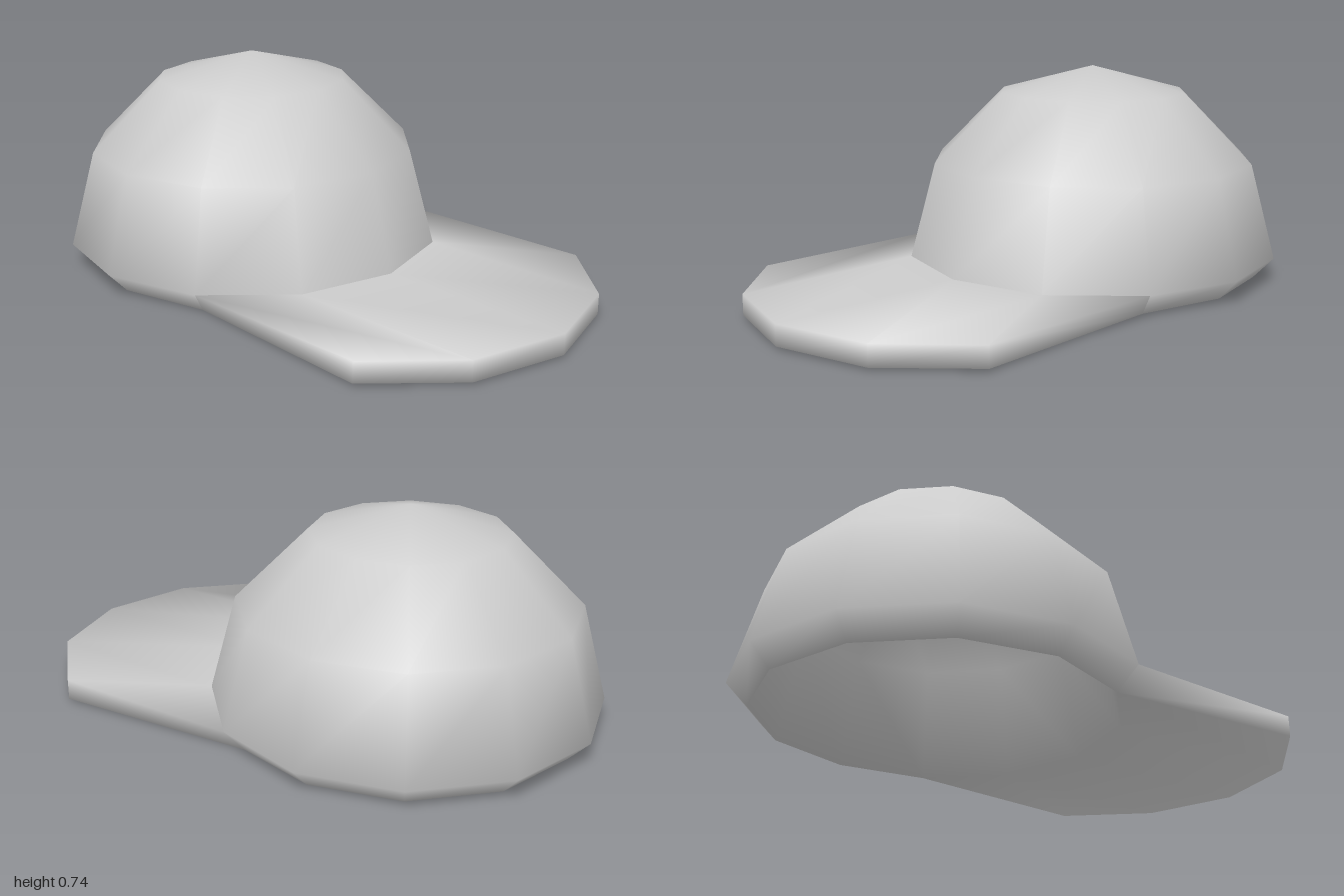
import * as THREE from 'three';

const SIDES = 12, RADIUS = 0.66, THICKNESS = 0.07, BAND_Y = 0.08, CENTER_Z = -0.34, REACH = 0.68;
const STEP = (2 * Math.PI) / SIDES;

// Smooth normals over all given triangles, each weighted by its corner angle
function smoothNormals(points, triangles) {
  const normals = points.map(() => new THREE.Vector3());
  const u = new THREE.Vector3(), v = new THREE.Vector3();
  for (let t = 0; t < triangles.length; t += 3) {
    for (let c = 0; c < 3; c++) {
      const [a, b, d] = [0, 1, 2].map((n) => triangles[t + ((c + n) % 3)]);
      u.subVectors(points[b], points[a]);
      v.subVectors(points[d], points[a]);
      const angle = u.angleTo(v);
      normals[a].addScaledVector(u.cross(v).normalize(), angle);
    }
  }
  return normals.map((n) => n.normalize());
}

export function createModel() {
  const points = [];
  const addPoint = (r, y, k, forward = 0) =>
    points.push(new THREE.Vector3(
      r * Math.sin(k * STEP), y, CENTER_Z + r * Math.cos(k * STEP) + forward)) - 1;
  const addRing = (r, heightAt) =>
    Array.from({ length: SIDES }, (_, k) => addPoint(r, heightAt(k), k));
  const at = (ring, k) => ring[(k + SIDES) % SIDES];
  const quad = (list, a, b, c, d) => list.push(a, b, c, a, c, d);
  const isFront = (k) => k < 2 || k >= SIDES - 2;
  const domeRing = (radius, i) => {
    const a = (i * Math.PI) / 6;
    return addRing(radius * Math.cos(a), () => BAND_Y + radius * Math.sin(a));
  };

  // The opening dips a little at the front
  const opening = addRing(RADIUS - THICKNESS, (k) => (isFront(k) || k === 2 ? 0 : 0.007));

  // Crown: outer dome, turned in at the bottom except where the brim joins
  const crown = [];
  const outer = [0, 1, 2].map((i) => domeRing(RADIUS, i));
  const pole = addPoint(0, BAND_Y + RADIUS, 0);
  for (let k = 0; k < SIDES; k++) {
    if (!isFront(k)) quad(crown, opening[k], at(opening, k + 1 - SIDES), at(outer[0], k + 1 - SIDES), outer[0][k]);
    for (let i = 0; i < 2; i++) {
      quad(crown, outer[i][k], at(outer[i], k + 1 - SIDES), at(outer[i + 1], k + 1 - SIDES), outer[i + 1][k]);
    }
    crown.push(outer[2][k], at(outer[2], k + 1 - SIDES), pole);
  }

  // Lining: inner dome rising from the opening
  const lining = [];
  const inner = [opening, ...[1, 2].map((i) => domeRing(RADIUS - THICKNESS, i))];
  const innerPole = addPoint(0, BAND_Y + RADIUS - THICKNESS, 0);
  for (let k = 0; k < SIDES; k++) {
    for (let i = 0; i < 2; i++) {
      quad(lining, inner[i][k], inner[i + 1][k], at(inner[i + 1], k + 1 - SIDES), at(inner[i], k + 1 - SIDES));
    }
    lining.push(inner[2][k], innerPole, at(inner[2], k + 1 - SIDES));
  }

  // Brim: the front of the band carried forward; its own top points keep a sharp joint
  const innerTop = {}, outerLow = {}, outerTop = {};
  for (let k = -2; k <= 2; k++) {
    innerTop[k] = addPoint(RADIUS, BAND_Y, k);
    outerLow[k] = addPoint(RADIUS, 0.01, k, REACH);
    outerTop[k] = addPoint(RADIUS, BAND_Y, k, REACH);
  }
  const brim = [];
  for (let k = -2; k < 2; k++) {
    quad(brim, innerTop[k], outerTop[k], outerTop[k + 1], innerTop[k + 1]);
    quad(brim, outerLow[k], outerLow[k + 1], outerTop[k + 1], outerTop[k]);
    quad(brim, at(opening, k), at(opening, k + 1), outerLow[k + 1], outerLow[k]);
  }
  quad(brim, at(opening, 2), innerTop[2], outerTop[2], outerLow[2]);
  quad(brim, at(opening, -2), outerLow[-2], outerTop[-2], innerTop[-2]);

  // The parts share points and normals, so the shading runs on across their joints
  const normals = smoothNormals(points, [...crown, ...lining, ...brim]);
  const toAttribute = (vectors) =>
    new THREE.Float32BufferAttribute(vectors.flatMap((v) => v.toArray()), 3);
  const material = new THREE.MeshStandardMaterial({ color: 0xcccccc });
  const cap = new THREE.Group();
  cap.name = 'cap';
  for (const [name, triangles] of Object.entries({ crown, lining, brim })) {
    const geometry = new THREE.BufferGeometry();
    geometry.setAttribute('position', toAttribute(points));
    geometry.setAttribute('normal', toAttribute(normals));
    geometry.setIndex(triangles);
    const mesh = new THREE.Mesh(geometry, material);
    mesh.name = name;
    cap.add(mesh);
  }
  return cap;
}
